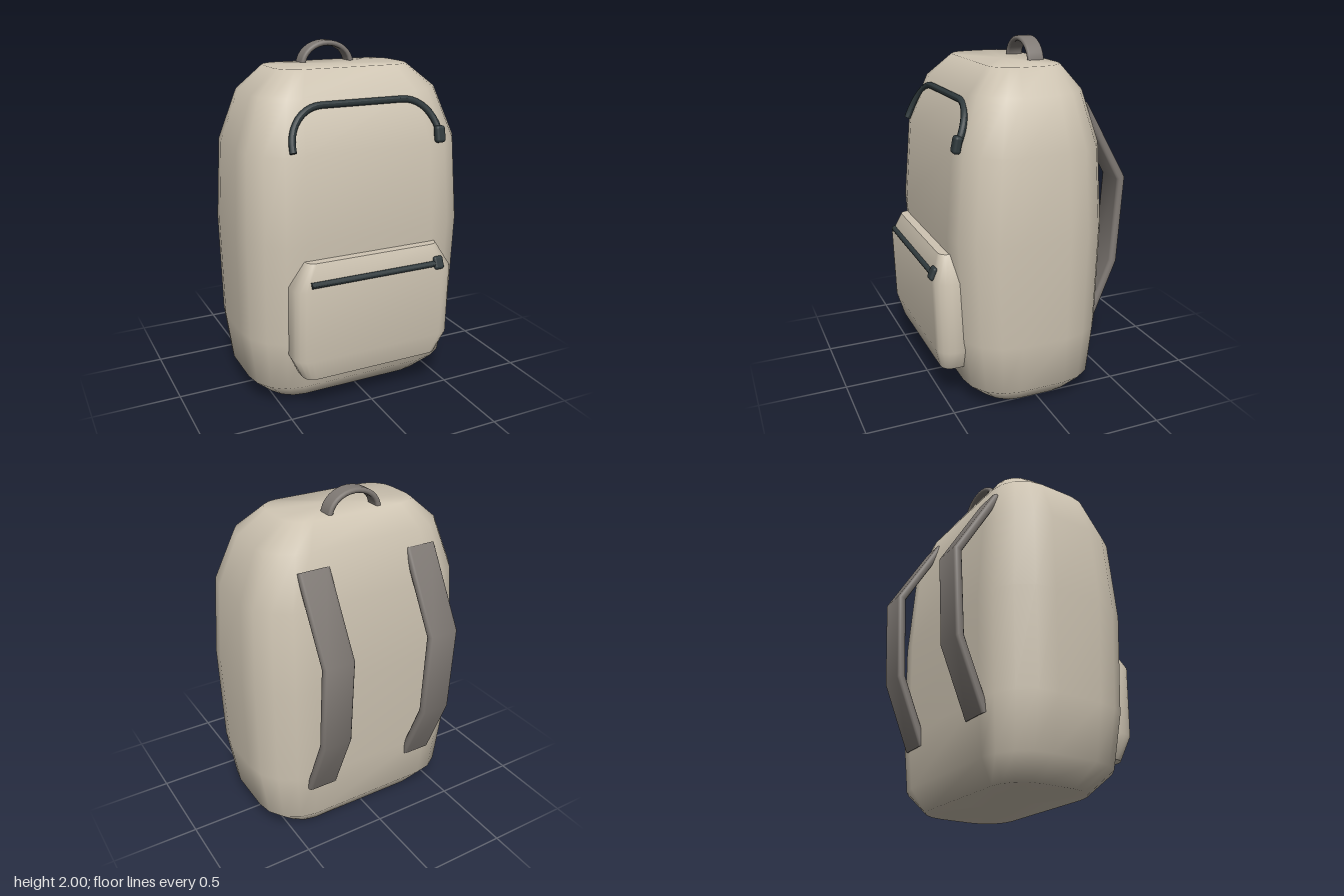
import * as THREE from 'three';
import { RoundedBoxGeometry } from 'three/addons/geometries/RoundedBoxGeometry.js';

const V = (x, y, z) => new THREE.Vector3(x, y, z);

// Rounded rectangle as [u, v] points; u is symmetric, v runs from back to front
function roundRect(hu, v0, v1, r, steps) {
  const centres = [[hu - r, v1 - r], [r - hu, v1 - r], [r - hu, v0 + r], [hu - r, v0 + r]];
  const pts = [];
  centres.forEach(([cu, cv], q) => {
    for (let i = 0; i <= steps; i++) {
      const a = (q + i / steps) * Math.PI / 2;
      pts.push([cu + r * Math.cos(a), cv + r * Math.sin(a)]);
    }
  });
  return pts;
}

// Smooth skin over a stack of rings, closed at both ends
function skin(rings, smoothCaps = false) {
  const n = rings[0].length;
  const pos = [], index = [];
  const add = (p) => pos.push(p.x, p.y, p.z) / 3 - 1;
  rings.forEach((ring) => ring.forEach(add));
  for (let k = 0; k < rings.length - 1; k++) {
    for (let i = 0; i < n; i++) {
      const a = k * n + i, b = k * n + (i + 1) % n;
      index.push(a, a + n, b, b, a + n, b + n);
    }
  }
  [0, rings.length - 1].forEach((k) => {
    const ring = rings[k];
    const mid = ring.reduce((s, p) => s.add(p), V(0, 0, 0)).divideScalar(n);
    const c = add(mid);
    const ids = ring.map((p, i) => (smoothCaps ? k * n + i : add(p)));
    for (let i = 0; i < n; i++) {
      const a = ids[i], b = ids[(i + 1) % n];
      if (k === 0) index.push(c, a, b);
      else index.push(c, b, a);
    }
  });
  const g = new THREE.BufferGeometry();
  g.setAttribute('position', new THREE.Float32BufferAttribute(pos, 3));
  g.setIndex(index);
  g.computeVertexNormals();
  return g;
}

// Rows of [y, half width, back z, front z, corner radius]
function loft(rows, smoothCaps) {
  return skin(rows.map(([y, hx, zb, zf, r]) =>
    roundRect(hx, zb, zf, r, 4).map(([x, z]) => V(x, y, z))), smoothCaps);
}

// Mitred sweep of a section along a planar path; W is the plane's normal
function sweep(path, W, section) {
  const last = path.length - 1;
  const dir = (i) => path[i + 1].clone().sub(path[i]).normalize();
  return skin(path.map((p, i) => {
    const d0 = dir(Math.max(0, i - 1)), d1 = dir(Math.min(last - 1, i));
    const T = d0.clone().add(d1).normalize();
    const N = W.clone().cross(T).divideScalar(T.dot(d1));
    return section.map(([u, v]) => p.clone().addScaledVector(W, u).addScaledVector(N, v));
  }));
}

export function createModel() {
  const group = new THREE.Group();
  const material = (name, color) => {
    const m = new THREE.MeshStandardMaterial({ color });
    m.name = name;
    return m;
  };
  const canvas = material('beige canvas', 0xcfc5b3);
  const webbing = material('grey webbing', 0x7f7974);
  const zip = material('dark zip', 0x2f393c);
  const add = (name, geometry, mat) => {
    const mesh = new THREE.Mesh(geometry, mat);
    mesh.name = name;
    group.add(mesh);
    return mesh;
  };

  // Main bag
  add('body', loft([
    [0, 0.505, -0.28, 0.28, 0.18],
    [0.12, 0.625, -0.37, 0.40, 0.25],
    [0.42, 0.67, -0.395, 0.45, 0.29],
    [1.0, 0.68, -0.41, 0.48, 0.30],
    [1.47, 0.655, -0.38, 0.44, 0.28],
    [1.75, 0.55, -0.30, 0.33, 0.21],
    [1.88, 0.40, -0.21, 0.20, 0.13],
  ], true), canvas);

  // Front pocket
  add('frontPocket', loft([
    [0.23, 0.42, 0.36, 0.53, 0.06],
    [0.36, 0.485, 0.36, 0.565, 0.085],
    [0.77, 0.485, 0.36, 0.577, 0.085],
    [0.91, 0.40, 0.36, 0.525, 0.05],
  ]), canvas);

  // Arched zip, leaning back with the front of the bag
  const lean = 0.43;
  const onFront = (x, y) => V(x, y, 0.345 + (1.71 - y) * lean);
  const arch = [];
  for (const side of [-1, 1]) {
    for (let i = 0; i <= 10; i++) {
      const a = (side < 0 ? i : 10 - i) / 10 * Math.PI / 2;
      arch.push(onFront(side * (0.24 + 0.2 * Math.cos(a)), 1.51 + 0.2 * Math.sin(a)));
    }
  }
  arch.unshift(onFront(-0.44, 1.49));
  arch.push(onFront(0.44, 1.49));
  const round = (r) => roundRect(r, -r, r, r * 0.999, 3);
  add('mainZip', sweep(arch, V(0, lean, 1).normalize(), round(0.019)), zip);
  const mainPull = add('mainZipPull', new RoundedBoxGeometry(0.06, 0.095, 0.045, 3, 0.018), zip);
  mainPull.position.set(0.437, 1.515, 0.435);
  mainPull.rotation.x = -0.2;

  // Pocket zip
  add('pocketZip', sweep([V(-0.4, 0.805, 0.562), V(0.4, 0.805, 0.562)], V(0, 0, 1), round(0.017)), zip);
  const pocketPull = add('pocketZipPull', new RoundedBoxGeometry(0.06, 0.075, 0.035, 3, 0.015), zip);
  pocketPull.position.set(0.378, 0.808, 0.562);
  pocketPull.rotation.x = -0.4;

  // Carry handle on top
  const handle = [];
  for (let i = 0; i <= 16; i++) {
    const a = i / 16 * Math.PI;
    handle.push(V(0.15 * Math.cos(a), 1.865 + 0.12 * Math.sin(a), -0.137));
  }
  add('carryHandle', sweep(handle, V(0, 0, 1), roundRect(0.048, -0.015, 0.015, 0.013, 3)), webbing);

  // Shoulder straps
  for (const side of [-1, 1]) {
    const x = side * 0.333;
    const path = [V(x, 0.34, -0.372), V(x, 0.725, -0.53), V(x, 1.225, -0.558), V(x, 1.66, -0.308)];
    add(side > 0 ? 'leftStrap' : 'rightStrap',
      sweep(path, V(1, 0, 0), roundRect(0.093, -0.024, 0.024, 0.02, 3)), webbing);
  }
  return group;
}
